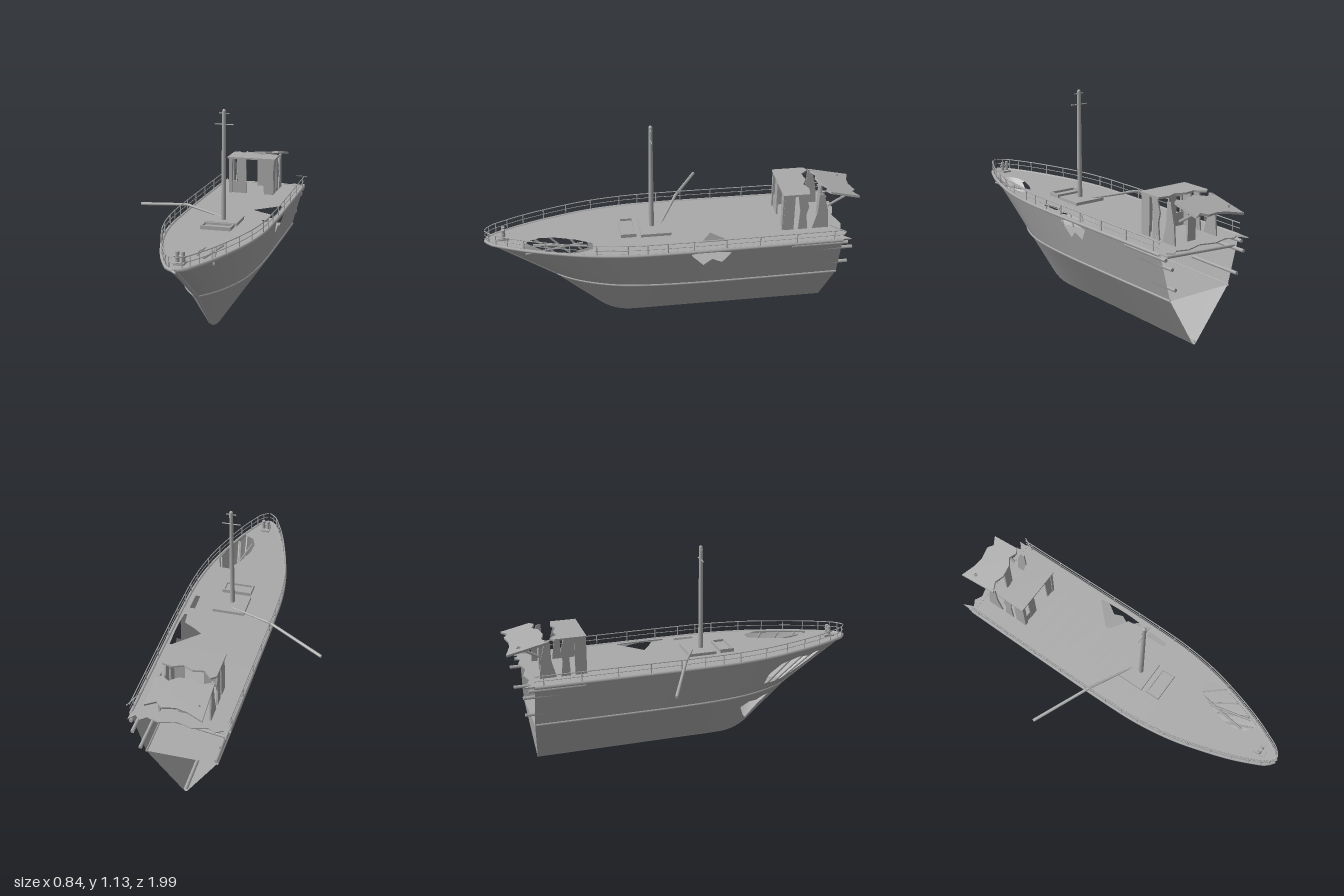
import * as THREE from 'three';
import { mergeVertices } from 'three/addons/utils/BufferGeometryUtils.js';

const CX = 0.15; // hull centreline
const DECK = 0.525, CHINE = 0.28;

// Stations from stern to bow: keel z, keel y, chine z, chine half width, sheer z, sheer half width
const STATIONS = [
  [-0.84, 0.01, -0.87, 0.185, -0.87, 0.25],
  [-0.4, 0.01, -0.4, 0.19, -0.4, 0.255],
  [0, 0.01, -0.05, 0.19, 0, 0.257],
  [0.18, 0.01, 0.15, 0.18, 0.25, 0.25],
  [0.27, 0.015, 0.3, 0.16, 0.46, 0.22],
  [0.35, 0.045, 0.42, 0.125, 0.63, 0.175],
  [0.44, 0.12, 0.51, 0.085, 0.78, 0.125],
  [0.53, 0.2, 0.575, 0.045, 0.89, 0.077],
  [0.58, 0.245, 0.6, 0.025, 0.955, 0.042],
  [0.62, 0.28, 0.62, 0.008, 0.985, 0.004],
];
const LAST = STATIONS.length - 1;
const V = (x, y, z) => new THREE.Vector3(x, y, z);

export function createModel() {
  const model = new THREE.Group();
  model.name = 'wreckedShip';
  const grey = new THREE.MeshStandardMaterial({ color: 0xaaaaaa, side: THREE.DoubleSide });
  grey.name = 'weatheredGrey';

  const add = (name, geometry, parent = model) => {
    const mesh = new THREE.Mesh(geometry, grey);
    mesh.name = name;
    parent.add(mesh);
    return mesh;
  };
  const group = (name) => {
    const g = new THREE.Group();
    g.name = name;
    model.add(g);
    return g;
  };
  const box = (name, w, h, d, x, y, z, parent) => {
    const m = add(name, new THREE.BoxGeometry(w, h, d), parent);
    m.position.set(x, y, z);
    return m;
  };
  const rod = (name, a, b, r0, r1 = r0, parent = model, sides = 10) => {
    const m = add(name, new THREE.CylinderGeometry(r1, r0, a.distanceTo(b), sides), parent);
    m.position.copy(a).lerp(b, 0.5);
    m.quaternion.setFromUnitVectors(V(0, 1, 0), b.clone().sub(a).normalize());
    return m;
  };
  const tube = (name, curve, r, parent) =>
    add(name, new THREE.TubeGeometry(curve, 64, r, 6), parent);
  // Torn flat sheet cut from an outline, lying in the xy plane
  const sheet = (name, pts, depth, parent) => {
    const shape = new THREE.Shape(pts.map(([x, y]) => new THREE.Vector2(x, y)));
    return add(name, new THREE.ExtrudeGeometry(shape, { depth, bevelEnabled: false }), parent);
  };
  // Torn horizontal sheet, outline given as x, z
  const flatSheet = (name, pts, depth, y, parent) => {
    const m = sheet(name, pts, depth, parent);
    m.rotation.x = Math.PI / 2;
    m.position.y = y;
    return m;
  };

  // Long edges of the hull
  const edge = (f) => new THREE.CatmullRomCurve3(STATIONS.map(f));
  const keel = (s) => edge(([z, y]) => V(CX + s * 0.012, y, z));
  const chine = (s, dx = 0) => edge((a) => V(CX + s * (a[3] + dx), CHINE, a[2]));
  const sheer = (s, dx = 0, y = DECK) =>
    edge((a) => V(CX + s * Math.max(a[5] + dx, 0.002), y, a[4]));

  // Ruled plating between two edges; each hole is a list of [station, from, to]
  const plating = (name, a, b, holes = []) => {
    const us = new Set(holes.flat().map((h) => h[0]));
    for (let i = 0; i <= LAST * 5; i++) us.add(i / 5);
    const list = [...us].sort((p, q) => p - q);
    const pos = [];
    const point = (u, v) => a.getPoint(u / LAST).lerp(b.getPoint(u / LAST), v);
    const span = (hole, u) => {
      let i = 1;
      while (i < hole.length - 1 && hole[i][0] < u) i++;
      const [p, q] = [hole[i - 1], hole[i]];
      const k = (u - p[0]) / (q[0] - p[0]);
      return [p[1] + (q[1] - p[1]) * k, p[2] + (q[2] - p[2]) * k];
    };
    const quad = (u0, u1, v00, v01, v10, v11) => {
      const [p, q, r, s] = [point(u0, v00), point(u1, v10), point(u1, v11), point(u0, v01)];
      for (const c of [p, q, r, p, r, s]) pos.push(c.x, c.y, c.z);
    };
    for (let i = 1; i < list.length; i++) {
      const [u0, u1] = [list[i - 1], list[i]];
      const mid = (u0 + u1) / 2;
      const hole = holes.find((h) => mid > h[0][0] && mid < h[h.length - 1][0]);
      if (!hole) {
        quad(u0, u1, 0, 1, 0, 1);
        continue;
      }
      const [l0, h0] = span(hole, u0), [l1, h1] = span(hole, u1);
      quad(u0, u1, 0, l0, 0, l1);
      quad(u0, u1, h0, 1, h1, 1);
    }
    let g = new THREE.BufferGeometry();
    g.setAttribute('position', new THREE.Float32BufferAttribute(pos, 3));
    g = mergeVertices(g, 1e-5);
    g.computeVertexNormals();
    return add(name, g);
  };

  // Hull plating with breaches in both sides
  const bowBreach = [[4.6, 0.45, 0.5], [4.8, 0.22, 0.7], [5.5, 0.2, 0.78], [6.2, 0.24, 0.72], [6.7, 0.4, 0.78], [6.95, 0.6, 0.75]];
  const lowBreach = [[4.3, 0.6, 0.65], [4.7, 0.35, 0.75], [5.2, 0.12, 0.7], [5.7, 0.4, 0.72], [6.3, 0.6, 0.62]];
  const sideBreach = [[1.3, 0.85, 0.88], [1.42, 0.6, 0.92], [1.55, 0.72, 0.94], [1.68, 0.55, 0.93], [1.82, 0.85, 0.9]];
  plating('lowerHullLeft', keel(1), chine(1));
  plating('lowerHullRight', keel(-1), chine(-1), [lowBreach]);
  plating('upperHullLeft', chine(1), sheer(1), [sideBreach]);
  plating('upperHullRight', chine(-1), sheer(-1), [bowBreach]);
  plating('keelBottom', keel(-1), keel(1));
  plating('lowerDeck', chine(-1), chine(1));
  plating('mainDeck', sheer(-1), sheer(1), [
    [[1.2, 0.93, 0.95], [1.5, 0.68, 0.96], [1.6, 0.79, 0.96], [1.68, 0.9, 0.96], [1.87, 0.92, 0.95]],
    [[2.05, 0.87, 0.93], [2.5, 0.88, 0.93]],
    [[3.86, 0.74, 0.86], [4.3, 0.66, 0.96], [5, 0.58, 0.98], [5.5, 0.58, 0.98], [5.9, 0.68, 0.98], [6.15, 0.95, 0.98]],
  ]);

  // Stem bar, rubbing strakes and deck rim
  const trim = group('hullTrim');
  tube('keelBar', edge(([z, y]) => V(CX, y + 0.002, z)), 0.011, trim);
  rod('stemBar', V(CX, CHINE, 0.62), V(CX, DECK - 0.01, 0.975), 0.01, 0.01, trim);
  for (const s of [-1, 1]) {
    tube('chineStrake', chine(s), 0.007, trim);
    tube('deckRim', sheer(s, 0, DECK - 0.005), 0.01, trim);
  }

  // Frames and deck beams inside the bow
  const frames = group('innerFrames');
  for (const u of [3.9, 4.5, 5.1, 5.7, 6.3]) {
    for (const s of [-1, 1]) {
      const low = chine(s, -0.012).getPoint(u / LAST);
      const top = sheer(s, -0.012, 0.515).getPoint(u / LAST);
      rod('frame', low, top, 0.006, 0.006, frames, 4);
    }
  }
  rod('brokenBeam', V(0.2, 0.5, 0.74), V(0.24, 0.5, 0.46), 0.008, 0.008, frames, 4);
  rod('brokenBeam', V(0.28, 0.5, 0.78), V(0.21, 0.5, 0.48), 0.006, 0.006, frames, 4);

  // Railings
  const rails = group('railings');
  for (const s of [-1, 1]) {
    tube('topRail', sheer(s, 0.002, 0.582), 0.003, rails);
    tube('middleRail', sheer(s, 0.002, 0.555), 0.002, rails);
    for (let u = 0.1; u < LAST; u += u < 3 ? 0.42 : 0.75) {
      const p = sheer(s).getPoint(u / LAST);
      rod('railPost', p, p.clone().setY(0.582), 0.003, 0.003, rails, 6);
    }
  }
  rod('bentRail', V(0.37, 0.6, -0.8), V(0.415, 0.58, -0.88), 0.003, 0.003, rails, 6);

  // Mast with cross bars and its base
  const mast = group('mast');
  box('mastBase', 0.18, 0.016, 0.16, CX, 0.533, 0.095, mast);
  rod('mastPole', V(CX, 0.53, 0.11), V(CX, 1.12, 0.11), 0.014, 0.01, mast, 16);
  const cap = add('mastCap', new THREE.SphereGeometry(0.01, 12, 8), mast);
  cap.position.set(CX, 1.12, 0.11);
  rod('crossBar', V(0.1, 1.05, 0.11), V(0.2, 1.05, 0.11), 0.003, 0.003, mast);
  rod('upperCrossBar', V(0.122, 1.108, 0.11), V(0.178, 1.108, 0.11), 0.003, 0.003, mast);

  // Fallen boom resting over the side
  const boom = group('fallenBoom');
  rod('boomHeel', V(0.14, 0.537, 0.06), V(-0.1, 0.565, -0.055), 0.005, 0.008, boom);
  rod('boomEnd', V(-0.1, 0.565, -0.055), V(-0.418, 0.513, -0.205), 0.008, 0.009, boom);

  // Hatch with raised coaming
  const hatch = group('hatch');
  box('hatchCover', 0.15, 0.008, 0.07, CX, 0.529, 0.24, hatch);
  for (const s of [-1, 1]) {
    box('hatchSide', 0.01, 0.02, 0.08, CX + s * 0.077, 0.535, 0.24, hatch);
    box('hatchEnd', 0.164, 0.02, 0.01, CX, 0.535, 0.24 + s * 0.036, hatch);
  }

  // Mooring bitts at the bow
  const bitts = group('bowBitts');
  box('bittBase', 0.05, 0.01, 0.06, CX, 0.53, 0.89, bitts);
  for (const s of [-1, 1]) rod('bitt', V(CX + s * 0.014, 0.53, 0.89), V(CX + s * 0.014, 0.585, 0.89), 0.01, 0.01, bitts);
  rod('bittBar', V(CX - 0.03, 0.562, 0.89), V(CX + 0.03, 0.562, 0.89), 0.006, 0.006, bitts);

  // Broken deckhouse, forward part
  const house = group('deckhouse');
  flatSheet('forwardRoof', [[-0.007, -0.57], [0.278, -0.57], [0.278, -0.71], [0.22, -0.72], [0.17, -0.7],
    [0.12, -0.725], [0.06, -0.715], [0.02, -0.76], [-0.007, -0.74]], 0.01, 0.74, house);
  const panels = [ // bottom x range, top x range, z
    [0.002, 0.022, 0.002, 0.022, -0.58],
    [0.06, 0.11, 0.055, 0.105, -0.585],
    [0.215, 0.27, 0.205, 0.258, -0.585],
    [0.255, 0.27, 0.255, 0.27, -0.58],
  ];
  for (const [a, b, c, d, z] of panels) {
    sheet('frontPanel', [[a, DECK], [b, DECK], [d, 0.733], [c, 0.733]], 0.008, house).position.z = z;
  }
  sheet('lowFrontPanel', [[0.002, DECK], [0.08, DECK], [0.08, 0.59], [0.05, 0.595], [0.002, 0.595]], 0.006, house).position.z = -0.585;
  for (const x of [0.002, 0.264]) { // side walls, outline as -z, y
    const w = group('deckhouseSide');
    sheet('sidePanel', [[0.58, DECK], [0.635, DECK], [0.635, 0.733], [0.58, 0.733]], 0.008, w);
    sheet('tornSidePanel', [[0.66, DECK], [0.71, DECK], [0.7, 0.61], [0.712, 0.66], [0.69, 0.733], [0.65, 0.733], [0.665, 0.64]], 0.008, w);
    sheet('aftSidePanel', [[0.735, DECK], [0.825, DECK], [0.815, 0.63], [0.79, 0.73], [0.765, 0.73], [0.76, 0.62]], 0.008, w);
    w.rotation.y = Math.PI / 2;
    w.position.x = x;
  }

  // Sagging aft roof and its bent struts
  const aft = group('aftRoof');
  const roof = flatSheet('tornRoof', [[-0.007, 0], [0.05, -0.03], [0.1, -0.01], [0.17, -0.02], [0.21, -0.05], [0.25, -0.03],
    [0.278, -0.05], [0.28, -0.21], [0.23, -0.18], [0.2, -0.205], [0.13, -0.19], [0.07, -0.2], [-0.007, -0.23]], 0.012, 0, aft);
  roof.rotation.set(Math.PI / 2 - 0.22, 0.09, 0);
  roof.position.set(0, 0.73, -0.77);
  for (const x of [0.03, 0.24]) {
    rod('roofStrut', V(x, 0.64, -0.82), V(x, 0.705, -0.93), 0.008, 0.008, aft, 4);
  }
  box('aftPost', 0.05, 0.2, 0.01, 0.15, 0.625, -0.8, aft);

  // Torn stern edge of the deck and projecting broken stringers
  const stern = group('tornStern');
  flatSheet('tornDeckEdge', [[-0.1, -0.86], [-0.1, -0.935], [-0.075, -0.88], [-0.04, -0.9], [0, -0.88], [0.08, -0.9], [0.16, -0.875],
    [0.25, -0.9], [0.31, -0.88], [0.34, -0.905], [0.37, -0.88], [0.4, -0.915], [0.4, -0.86]], 0.006, DECK + 0.002, stern);
  for (const s of [-1, 1]) {
    for (const [y, h, z] of [[0.46, 0.225, -0.93], [0.35, 0.195, -0.92], [0.5, 0.24, -0.9]]) {
      rod('brokenStringer', V(CX + s * h, y, -0.6), V(CX + s * h, y, z), 0.01, 0.01, stern, 6);
    }
  }
  rod('sternCrossBeam', V(-0.08, 0.47, -0.86), V(0.3, 0.47, -0.8), 0.008, 0.008, stern, 6);
  return model;
}
